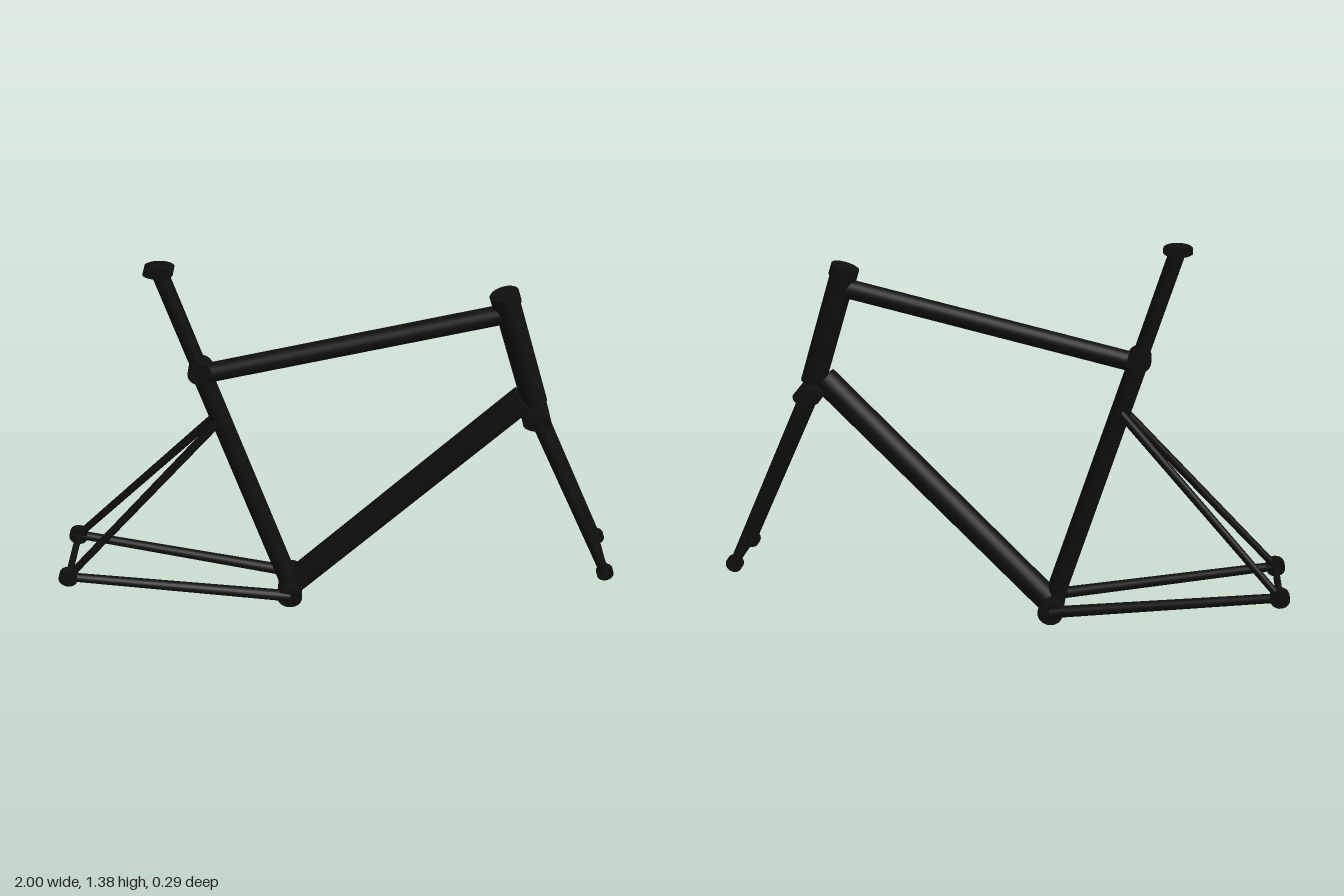
import * as THREE from 'three';

export function createModel() {
  const model = new THREE.Group();
  model.name = 'bicycleFrame';
  const black = new THREE.MeshStandardMaterial({ color: 0x0f0f0f });
  black.name = 'black';

  const add = (name, geometry) => {
    const mesh = new THREE.Mesh(geometry, black);
    mesh.name = name;
    model.add(mesh);
    return mesh;
  };

  // Round tube between two points, with a radius at each end
  const tube = (name, from, to, r0, r1 = r0) => {
    const a = new THREE.Vector3(...from), b = new THREE.Vector3(...to);
    const mesh = add(name, new THREE.CylinderGeometry(r1, r0, a.distanceTo(b), 24));
    mesh.position.copy(a).add(b).multiplyScalar(0.5);
    mesh.quaternion.setFromUnitVectors(new THREE.Vector3(0, 1, 0), b.sub(a).normalize());
    return mesh;
  };

  // Round or oval barrel lying across the frame, along z
  const barrel = (name, x, y, z, length, rx, ry = rx) => {
    const geometry = new THREE.CylinderGeometry(1, 1, length, 28).rotateX(Math.PI / 2);
    geometry.scale(rx, ry, 1);
    add(name, geometry).position.set(x, y, z);
  };

  // Main triangle
  tube('seatTube', [-0.175, 0.045, 0], [-0.455, 0.985, 0], 0.036, 0.034);
  tube('topTube', [-0.45, 0.97, 0], [0.56, 1.2, 0], 0.033);
  tube('downTube', [-0.175, 0.045, 0], [0.63, 0.87, 0], 0.047);
  tube('headTube', [0.668, 0.855, 0], [0.545, 1.24, 0], 0.043);
  tube('headsetCap', [0.547, 1.233, 0], [0.535, 1.27, 0], 0.048);
  barrel('bottomBracket', -0.175, 0.045, 0, 0.165, 0.045);

  // Seat post with its collar and clamp
  tube('seatPost', [-0.45, 0.97, 0], [-0.565, 1.357, 0], 0.027);
  barrel('seatCollar', -0.455, 0.985, 0, 0.066, 0.04);
  barrel('seatClamp', -0.565, 1.357, 0, 0.06, 0.048, 0.018);

  // Fork crown and axles
  barrel('forkCrown', 0.668, 0.83, 0, 0.195, 0.048, 0.03);
  barrel('frontAxle', 0.968, 0.185, 0, 0.24, 0.012);
  barrel('rearAxle', -0.968, 0.185, 0, 0.29, 0.012);

  // Paired blades, stays and dropouts
  for (const [side, s] of [['front', 1], ['back', -1]]) {
    tube(side + 'ForkBlade', [0.675, 0.825, s * 0.076], [0.968, 0.185, s * 0.102], 0.024, 0.018);
    tube(side + 'ChainStay', [-0.175, 0.045, s * 0.07], [-0.968, 0.185, s * 0.12], 0.021, 0.016);
    tube(side + 'SeatStay', [-0.4, 0.8, s * 0.028], [-0.968, 0.185, s * 0.12], 0.015, 0.013);
    barrel(side + 'ForkDropout', 0.968, 0.185, s * 0.102, 0.025, 0.03);
    barrel(side + 'RearDropout', -0.968, 0.185, s * 0.12, 0.03, 0.034);
  }
  return model;
}
